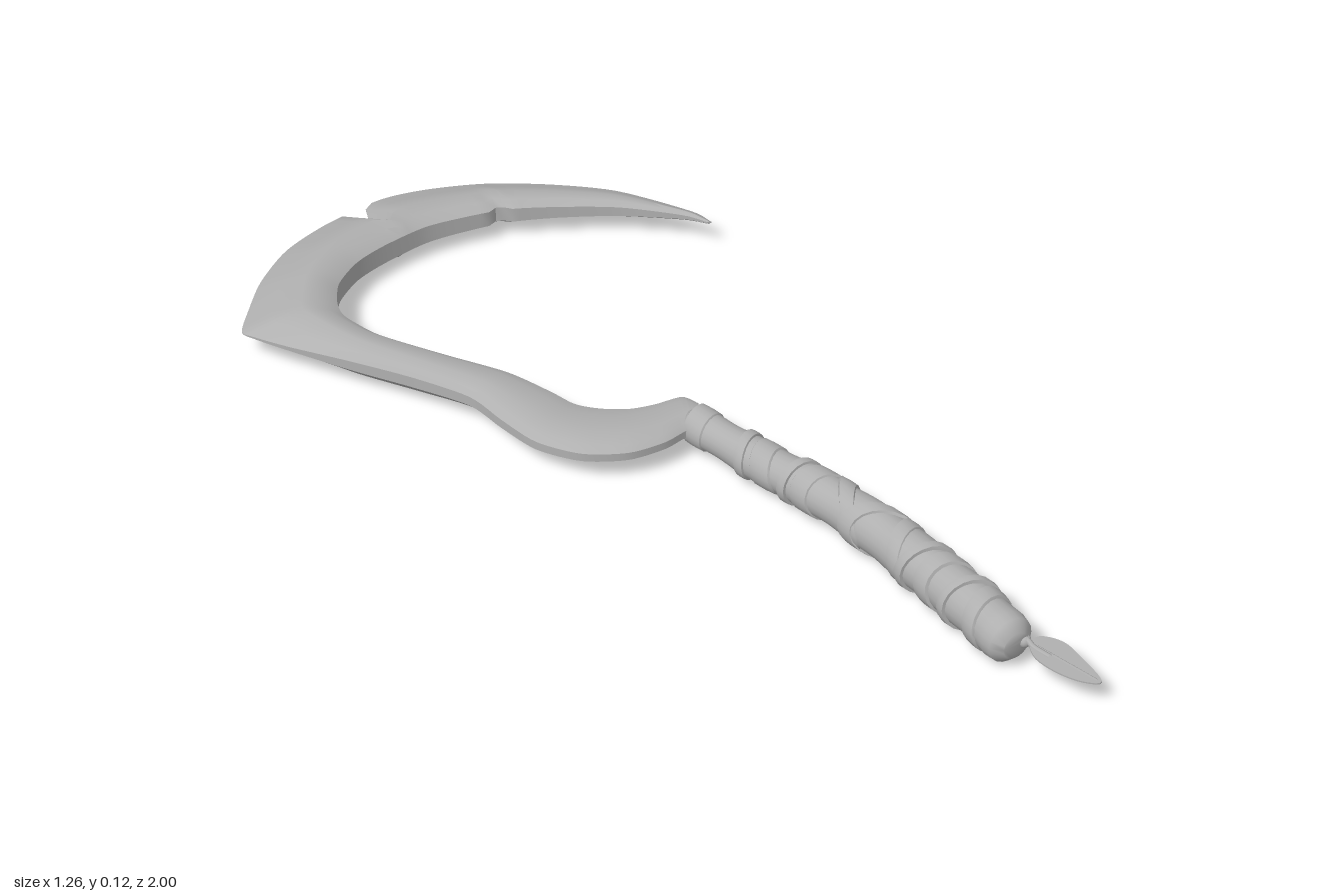
import * as THREE from 'three';
import { toCreasedNormals } from 'three/addons/utils/BufferGeometryUtils.js';

const MID = 0.063; // height of the flat middle plane
const V = (x, y, z) => new THREE.Vector3(x, y, z);

// Skin a list of closed rings and cap both ends
function loft(rings, crease) {
  const n = rings[0].length, pos = [], idx = [];
  rings.forEach(r => r.forEach(p => pos.push(p.x, p.y, p.z)));
  for (let i = 0; i < rings.length - 1; i++) {
    for (let j = 0; j < n; j++) {
      const a = i * n + j, c = i * n + (j + 1) % n;
      idx.push(a, a + n, c, a + n, c + n, c);
    }
  }
  const last = (rings.length - 1) * n;
  for (let j = 1; j < n - 1; j++) idx.push(0, j, j + 1, last, last + j + 1, last + j);
  const g = new THREE.BufferGeometry();
  g.setAttribute('position', new THREE.Float32BufferAttribute(pos, 3));
  g.setIndex(idx);
  return toCreasedNormals(g, crease);
}

// Blade stations: outer x, outer z, inner x, inner z, half thickness, roundness of back
const STATIONS = [
  [0.43, -0.69, 0.42, -0.69, 0.003, 0],
  [0.40, -0.745, 0.375, -0.728, 0.010, 0],
  [0.27, -0.87, 0.25, -0.79, 0.022, 0],
  [0.135, -0.94, 0.12, -0.828, 0.028, 0],
  [0, -0.985, 0.01, -0.847, 0.034, 0],
  [-0.13, -1, -0.1, -0.84, 0.038, 0],
  [-0.235, -0.99, -0.18, -0.825, 0.042, 0],
  [-0.37, -0.93, -0.28, -0.78, 0.045, 0],
  [-0.475, -0.857, -0.35, -0.735, 0.046, 0],
  [-0.555, -0.757, -0.405, -0.67, 0.047, 0],
  [-0.605, -0.66, -0.425, -0.61, 0.047, 0],
  [-0.635, -0.59, -0.428, -0.58, 0.046, 0],
  [-0.615, -0.56, -0.425, -0.555, 0.045, 0.1],
  [-0.555, -0.5, -0.41, -0.525, 0.042, 0.3],
  [-0.445, -0.4, -0.37, -0.465, 0.039, 0.8],
  [-0.34, -0.305, -0.26, -0.36, 0.035, 1],
  [-0.25, -0.21, -0.155, -0.265, 0.031, 1],
  [-0.21, -0.115, -0.09, -0.175, 0.029, 1],
  [-0.165, -0.025, -0.055, -0.12, 0.027, 1],
  [-0.09, 0.04, -0.01, -0.09, 0.026, 1],
  [0, 0.065, 0.045, -0.072, 0.025, 1],
  [0.08, 0.053, 0.1, -0.072, 0.024, 1],
  [0.135, 0.028, 0.16, -0.08, 0.024, 1],
  [0.16, 0.03, 0.185, -0.05, 0.023, 1],
];

function bladeGeometry() {
  const spline = k => new THREE.CatmullRomCurve3(
    STATIONS.map(s => V(s[k], s[k + 1], k === 4 ? 0 : s[4])), false, 'centripetal');
  const outer = new THREE.CatmullRomCurve3(STATIONS.map(s => V(s[0], 0, s[1])), false, 'catmullrom', 0.4);
  const inner = new THREE.CatmullRomCurve3(STATIONS.map(s => V(s[2], 0, s[3])), false, 'catmullrom', 0.4);
  const form = new THREE.CatmullRomCurve3(STATIONS.map(s => V(s[4], s[5], 0)), false, 'catmullrom', 0.4);
  const steps = (STATIONS.length - 1) * 6, rings = [];
  // A chip in the edge, deepest at the given spot
  const chip = (p, x, z, width, depth) =>
    Math.max(0, 1 - Math.hypot(p.x - x, p.z - z) / width) * depth;
  for (let i = 0; i <= steps; i++) {
    const t = i / steps, o = outer.getPoint(t), n = inner.getPoint(t), f = form.getPoint(t);
    const h = f.x, k = f.y, across = n.clone().sub(o);
    const from = chip(o, -0.3, -0.966, 0.03, 0.4), to = 1 - chip(n, 0, -0.846, 0.025, 0.12);
    const mix = (a, b) => a + (b - a) * k;
    const half = [[0, mix(0.02, 0.35)], [mix(0.3, 0.12), mix(0.5, 0.75)], [mix(0.62, 0.35), 1],
      [mix(0.85, 0.75), mix(0.88, 0.95)], [1, 0.5]];
    const ring = [...half, ...half.map(([u, v]) => [u, -v]).reverse()];
    rings.push(ring.map(([u, v]) =>
      o.clone().addScaledVector(across, from + (to - from) * u).setY(MID + v * h)));
  }
  return loft(rings, 0.6);
}

// Handle centre line and a point on its skin
const GRIP = new THREE.CatmullRomCurve3([
  [0.155, -0.02], [0.245, 0.155], [0.32, 0.285], [0.385, 0.425], [0.435, 0.57], [0.48, 0.715], [0.513, 0.85],
].map(([x, z]) => V(x, MID, z)));
const gripRadius = t => 0.037 + 0.014 * Math.min(1, t * 1.6);

function skin(t, angle, r) {
  t = Math.min(1, Math.max(0, t));
  const side = GRIP.getTangentAt(t).cross(V(0, 1, 0)).normalize();
  return GRIP.getPointAt(t).addScaledVector(side, r * Math.cos(angle)).add(V(0, r * Math.sin(angle), 0));
}

function ringAt(t, r, tilt = 0, phase = 0, n = 20) {
  return Array.from({ length: n }, (_, j) => {
    const a = j / n * Math.PI * 2;
    return skin(t + tilt * Math.cos(a + phase), a, r);
  });
}

function gripGeometry() {
  const rings = [];
  for (let i = 0; i <= 48; i++) {
    const t = i / 48, end = Math.min(1, t / 0.03, (1 - t) / 0.045);
    const round = 0.55 + 0.45 * Math.sqrt(end * (2 - end));
    rings.push(ringAt(t, (gripRadius(t) + 0.0015 * Math.sin(t * 40)) * round));
  }
  return loft(rings, 0.9);
}

// A leather band: a short sleeve, tilted around the grip
function bandGeometry(t, width, lift, tilt, phase) {
  const r = gripRadius(t);
  return loft([[-1, -0.004], [-0.8, lift], [0, lift + 0.001], [0.8, lift], [1, -0.004]]
    .map(([s, up]) => ringAt(t + s * width, r + up, tilt, phase)), 0.7);
}

export function createModel() {
  const model = new THREE.Group();
  const grey = new THREE.MeshStandardMaterial({ color: 0xb0b0b0, side: THREE.DoubleSide });
  grey.name = 'grey';
  const add = (name, geometry) => {
    const mesh = new THREE.Mesh(geometry, grey);
    mesh.name = name;
    model.add(mesh);
    return mesh;
  };

  add('blade', bladeGeometry());
  add('grip', gripGeometry());

  // Bands along the grip: place, half width, lift, tilt, phase
  [
    [0.045, 0.030, 0.004, 0.005, 0], [0.18, 0.014, 0.006, 0.012, 0.5], [0.24, 0.030, 0.003, 0.015, 1],
    [0.32, 0.012, 0.006, 0.012, 3], [0.375, 0.028, 0.004, 0.02, 2.6], [0.47, 0.026, 0.004, 0.05, 0.4],
    [0.55, 0.024, 0.005, 0.05, 2.9], [0.64, 0.022, 0.004, 0.025, 0.6], [0.70, 0.013, 0.007, 0.02, 3.3],
    [0.765, 0.024, 0.005, 0.02, 2.4], [0.84, 0.012, 0.008, 0.02, 3], [0.90, 0.022, 0.004, 0.015, 0.8],
  ].forEach(b => add('wrapBand', bandGeometry(...b)));

  // Cord and knot at the end of the grip
  const cord = new THREE.CatmullRomCurve3([
    V(0.515, MID, 0.83), V(0.535, MID + 0.006, 0.845), V(0.542, MID, 0.862), V(0.56, MID, 0.9)]);
  add('cord', new THREE.TubeGeometry(cord, 16, 0.006, 8));
  const knot = add('knot', new THREE.SphereGeometry(0.014, 12, 8));
  knot.position.set(0.533, MID, 0.80 + 0.04);

  // Flat feather hanging from the cord
  const edge = [[0.537, 0.85], [0.565, 0.838], [0.6, 0.865], [0.615, 0.915], [0.625, 0.995],
    [0.59, 0.985], [0.555, 0.945], [0.533, 0.895]].map(([x, z]) => new THREE.Vector2(x, z));
  const outline = new THREE.SplineCurve([...edge, edge[0]]).getPoints(32);
  const feather = new THREE.ExtrudeGeometry(new THREE.Shape(outline), { depth: 0.003, bevelEnabled: false });
  feather.rotateX(Math.PI / 2).translate(0, MID + 0.0015, 0);
  add('feather', feather);
  const quill = new THREE.CatmullRomCurve3([V(0.55, MID, 0.865), V(0.58, MID, 0.92), V(0.618, MID, 0.99)]);
  add('quill', new THREE.TubeGeometry(quill, 10, 0.003, 6));
  return model;
}
